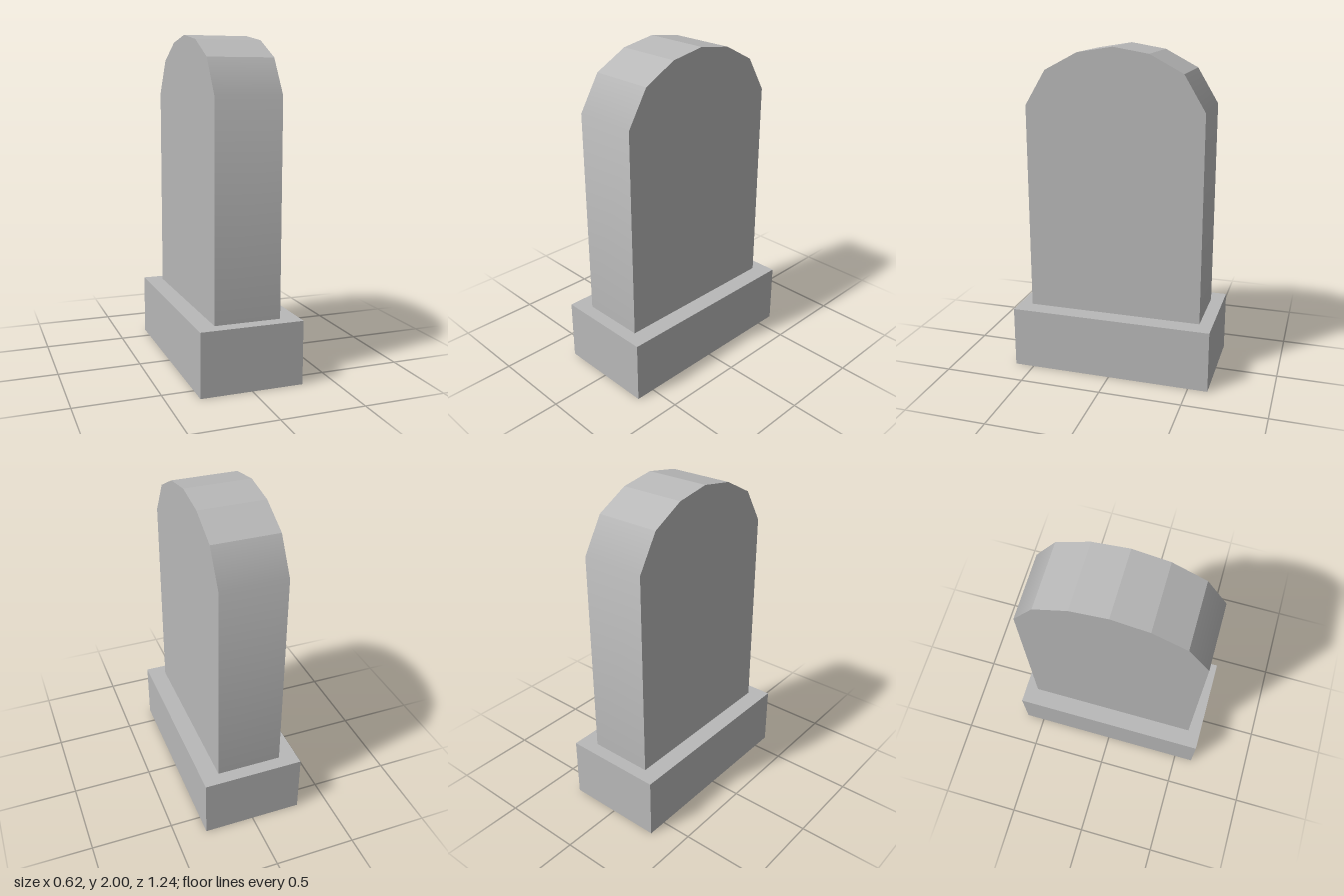
import * as THREE from 'three';

const BASE = { width: 0.62, height: 0.38, depth: 1.24 };
const SLAB_WIDTH = 0.4;
const SHOULDER_Y = 1.65;

// Half outline of the slab (z, y), from foot to crown
const HALF = [[0.54, BASE.height], [0.54, SHOULDER_Y], [0.413, 1.86], [0.213, 1.965]];

function slabGeometry() {
  const outline = [...HALF, [0, 2], ...HALF.map(([z, y]) => [-z, y]).reverse()];
  const shape = new THREE.Shape(outline.map(([z, y]) => new THREE.Vector2(z, y)));
  const geo = new THREE.ExtrudeGeometry(shape, { depth: SLAB_WIDTH, bevelEnabled: false });
  geo.translate(0, 0, -SLAB_WIDTH / 2);
  geo.rotateY(Math.PI / 2);

  // Soften only the bend where each upright edge meets the first facet of the arch
  const pos = geo.attributes.position;
  const nor = geo.attributes.normal;
  const bend = new THREE.Vector2(1 + 0.856, 0.517).normalize();
  for (let i = 0; i < pos.count; i++) {
    const onBend = Math.abs(pos.getY(i) - SHOULDER_Y) < 1e-4;
    if (onBend && Math.abs(nor.getX(i)) < 0.5) {
      nor.setXYZ(i, 0, bend.y, Math.sign(pos.getZ(i)) * bend.x);
    }
  }
  return geo;
}

export function createModel() {
  const group = new THREE.Group();
  group.name = 'headstone';
  const stone = new THREE.MeshStandardMaterial({ color: 0xb8b8b8 });
  stone.name = 'grey stone';

  // Plinth
  const base = new THREE.Mesh(new THREE.BoxGeometry(BASE.width, BASE.height, BASE.depth), stone);
  base.name = 'base';
  base.position.y = BASE.height / 2;

  // Upright slab with faceted arched top
  const slab = new THREE.Mesh(slabGeometry(), stone);
  slab.name = 'slab';

  group.add(base, slab);
  return group;
}
